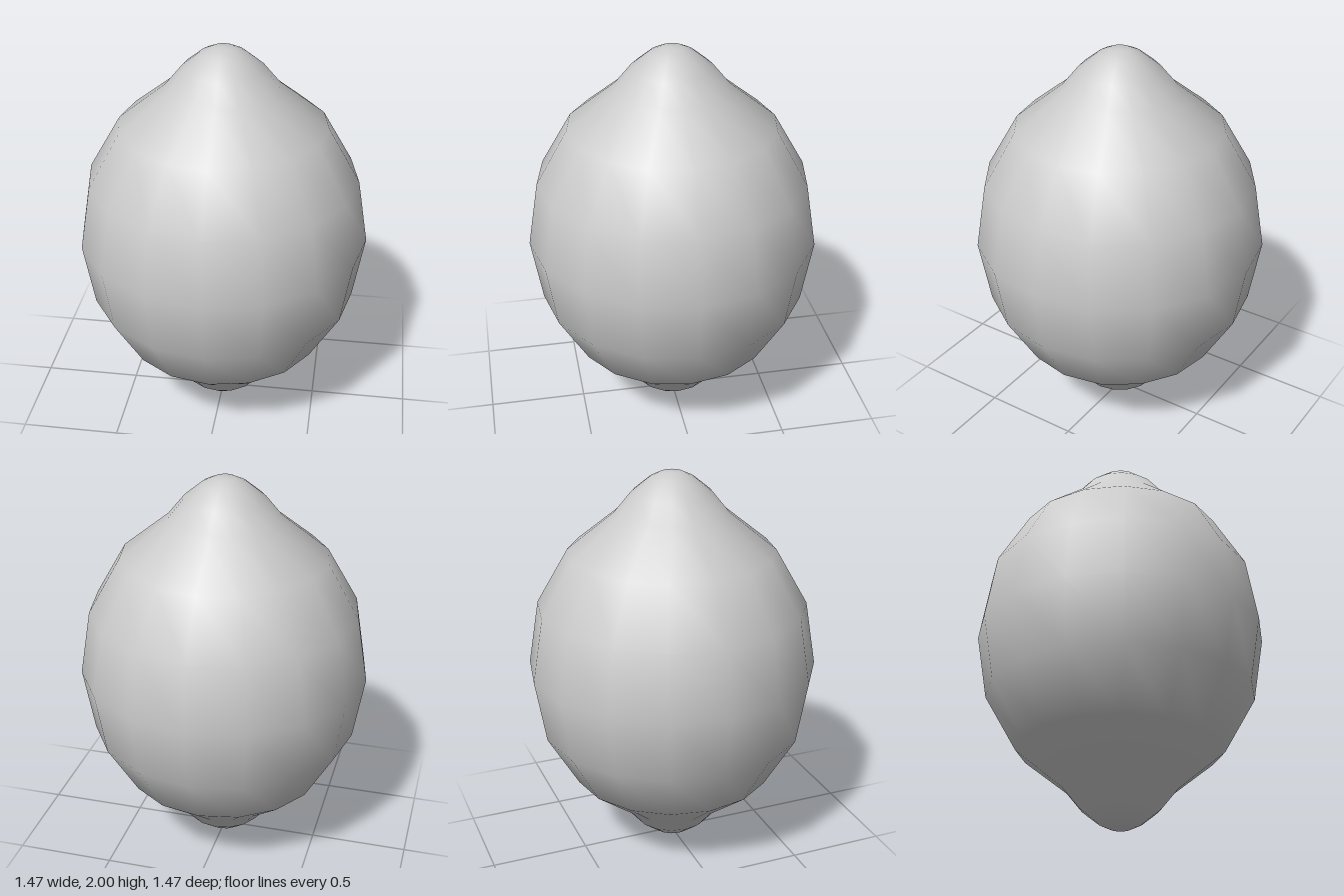
import * as THREE from 'three';

export function createModel() {
  const group = new THREE.Group();
  group.name = 'lemon';

  // Half profile [radius, height] from the bottom tip to the widest ring
  const half = [
    [0, 0], [0.053, 0.003], [0.11, 0.03], [0.2, 0.103],
    [0.285, 0.207], [0.52, 0.395], [0.68, 0.672], [0.735, 1],
  ];
  // Mirror the profile upwards for the matching top tip
  const upper = half.slice(0, -1).reverse().map(([r, y]) => [r, 2 - y]);
  const profile = [...half, ...upper].map(([r, y]) => new THREE.Vector2(r, y));

  // Smooth-shaded fruit with 16 sides
  const fruit = new THREE.Mesh(
    new THREE.LatheGeometry(profile, 16),
    new THREE.MeshStandardMaterial({ color: 0xcccccc })
  );
  fruit.name = 'fruitBody';
  group.add(fruit);

  return group;
}
